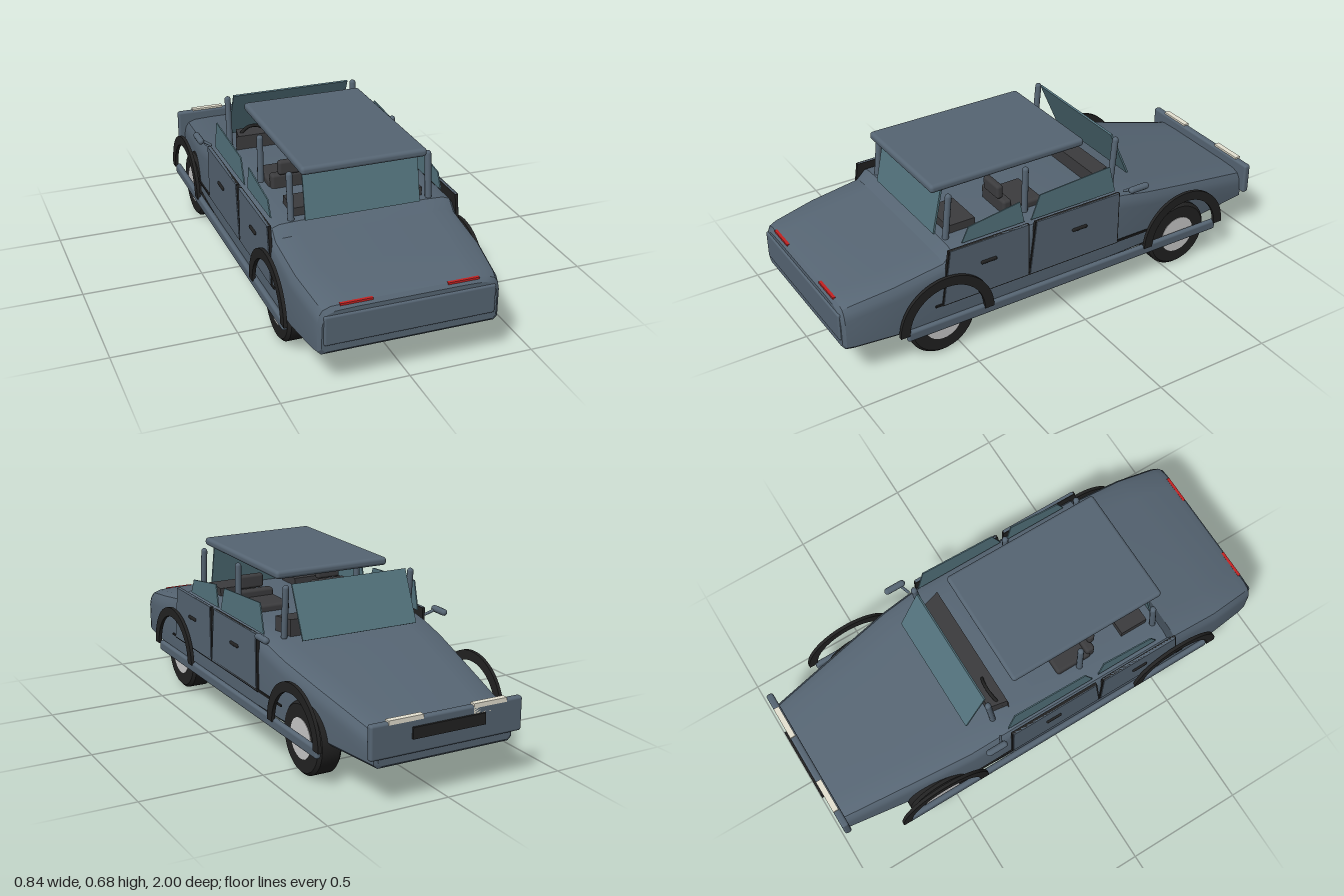
import * as THREE from 'three';
import { toCreasedNormals } from 'three/addons/utils/BufferGeometryUtils.js';
import { RoundedBoxGeometry } from 'three/addons/geometries/RoundedBoxGeometry.js';

const mat = (color) => new THREE.MeshStandardMaterial({ color });
const paint = mat(0x566573), dark = mat(0x222222), trim = mat(0x3c3c3e), glass = mat(0x55757f);
const red = mat(0xc42222), lamp = mat(0xe6e2d2), metal = mat(0xcccccc);
glass.side = THREE.DoubleSide;

// Body hull: rounded cross-sections lofted from nose to tail
function bodyGeometry() {
  const section = (z, w, top, bottom = 0.155) => {
    const half = [[w - 0.015, bottom], [w, bottom + 0.015], [w, top - 0.065],
      [w - 0.006, top - 0.035], [w - 0.02, top - 0.014], [w - 0.05, top - 0.003], [w - 0.13, top]];
    return [...half, ...half.map(([x, y]) => [-x, y]).reverse()].map(([x, y]) => [x, y, z]);
  };
  const rings = [
    section(-0.975, 0.285, 0.275, 0.165), section(-0.965, 0.297, 0.288), section(-0.6, 0.348, 0.368),
    section(-0.4, 0.374, 0.413), section(-0.27, 0.38, 0.442), section(-0.2, 0.382, 0.453), section(0.15, 0.384, 0.458),
    section(0.53, 0.385, 0.456), section(0.57, 0.385, 0.418), section(0.78, 0.383, 0.386),
    section(0.95, 0.363, 0.357), section(0.98, 0.355, 0.347), section(0.992, 0.342, 0.332, 0.168),
  ];
  const n = rings[0].length, pos = [];
  const tri = (a, b, c) => pos.push(...a, ...b, ...c);
  for (let i = 0; i < rings.length - 1; i++) {
    for (let j = 0; j < n; j++) {
      const k = (j + 1) % n, [p, q] = [rings[i], rings[i + 1]];
      tri(p[j], p[k], q[k]);
      tri(p[j], q[k], q[j]);
    }
  }
  const [nose, tail] = [rings[0], rings[rings.length - 1]];
  for (let j = 1; j < n - 1; j++) {
    tri(nose[0], nose[j + 1], nose[j]);
    tri(tail[0], tail[j], tail[j + 1]);
  }
  const g = new THREE.BufferGeometry();
  g.setAttribute('position', new THREE.Float32BufferAttribute(pos, 3));
  return toCreasedNormals(g, 0.5);
}

// Flat plate drawn in (z, y), centred on the given x
function sidePlate(shape, x, depth) {
  return new THREE.ExtrudeGeometry(shape, { depth, bevelEnabled: false, curveSegments: 32 })
    .translate(0, 0, -depth / 2).rotateY(-Math.PI / 2).translate(x, 0, 0);
}
const polygon = (pts) => new THREE.Shape(pts.map(([z, y]) => new THREE.Vector2(z, y)));

export function createModel() {
  const car = new THREE.Group();
  car.name = 'car';
  const add = (name, geometry, material, x = 0, y = 0, z = 0) => {
    const m = new THREE.Mesh(geometry, material);
    m.name = name;
    m.position.set(x, y, z);
    car.add(m);
    return m;
  };
  const box = (name, size, at, material) => add(name, new THREE.BoxGeometry(...size), material, ...at);
  const round = (name, size, at, material, r) => add(name, new RoundedBoxGeometry(...size, 3, r), material, ...at);
  // Round bar between two points
  const bar = (name, a, b, r, material) => {
    const p = new THREE.Vector3(...a), d = new THREE.Vector3(...b).sub(p);
    const m = add(name, new THREE.CapsuleGeometry(r, d.length() - 2 * r, 5, 12), material);
    m.position.copy(p).addScaledVector(d, 0.5);
    m.quaternion.setFromUnitVectors(new THREE.Vector3(0, 1, 0), d.normalize());
  };
  // Sloping glass pane, leaning between base and top heights
  const pane = (name, w, [y0, z0], [y1, z1]) => {
    const m = box(name, [w, Math.hypot(y1 - y0, z1 - z0), 0.008], [0, (y0 + y1) / 2, (z0 + z1) / 2], glass);
    m.rotation.x = Math.atan2(z1 - z0, y1 - y0);
  };

  add('body', bodyGeometry(), paint);
  round('roof', [0.51, 0.034, 0.695], [0, 0.662, 0.203], paint, 0.014);
  pane('windscreen', 0.515, [0.455, -0.365], [0.66, -0.275]);
  pane('rearScreen', 0.47, [0.455, 0.535], [0.648, 0.495]);

  // Nose and tail
  round('frontBumper', [0.65, 0.135, 0.03], [0, 0.262, -0.974], paint, 0.01);
  box('grille', [0.31, 0.045, 0.014], [0, 0.275, -0.991], dark);
  round('tailPanel', [0.67, 0.12, 0.02], [0, 0.255, 0.989], paint, 0.009);

  // Dashboard and steering wheel
  const dash = new THREE.Shape([[-0.27, -0.18], [-0.255, -0.26], [0.255, -0.26], [0.28, -0.18], [-0.28, -0.18]]
    .map(([x, z]) => new THREE.Vector2(x, -z)));
  add('dashboard', new THREE.ExtrudeGeometry(dash, { depth: 0.07, bevelEnabled: false }).rotateX(-Math.PI / 2),
    trim, 0, 0.443, 0);
  const wheelRim = add('steeringWheel', new THREE.TorusGeometry(0.07, 0.007, 8, 32), dark, -0.19, 0.47, -0.2);
  wheelRim.rotation.x = -0.4;

  for (const s of [-1, 1]) {
    box('headlight', [0.145, 0.04, 0.024], [s * 0.18, 0.317, -0.977], lamp);
    box('tailLight', [0.125, 0.008, 0.012], [s * 0.208, 0.346, 0.979], red);

    // Pillars, mirrors and sills
    bar('windscreenPillar', [s * 0.283, 0.435, -0.258], [s * 0.283, 0.66, -0.278], 0.013, paint);
    bar('doorPillar', [s * 0.283, 0.44, 0.155], [s * 0.283, 0.655, 0.15], 0.013, paint);
    bar('rearPillar', [s * 0.283, 0.435, 0.513], [s * 0.283, 0.645, 0.492], 0.013, paint);
    bar('mirror', [s * 0.405, 0.473, -0.36], [s * 0.405, 0.473, -0.265], 0.014, paint);
    bar('mirrorArm', [s * 0.36, 0.45, -0.27], [s * 0.4, 0.472, -0.29], 0.006, paint);
    round('sill', [0.024, 0.046, 1.49], [s * 0.393, 0.152, 0.005], paint, 0.011);

    // Seats
    round('seatCushion', [0.18, 0.05, 0.16], [s * 0.18, 0.46, 0.14], trim, 0.012);
    round('seatBack', [0.17, 0.08, 0.04], [s * 0.18, 0.475, 0.22], trim, 0.012);
    round('headrest', [0.11, 0.06, 0.03], [s * 0.185, 0.545, 0.238], trim, 0.012);
    box('rearSeat', [0.17, 0.05, 0.12], [s * 0.18, 0.465, 0.43], trim);

    // Doors over dark plates that show as seams
    const rearDoor = [[0.55, 0.467], [0.585, 0.235], [0.205, 0.235], [0.205, 0.467]];
    const frontDoor = [[0.165, 0.467], [0.195, 0.235], [-0.225, 0.235], [-0.225, 0.467]];
    for (const [name, pts] of [['rearDoor', rearDoor], ['frontDoor', frontDoor]]) {
      const grown = pts.map(([z, y], i) => [z + (i < 2 ? 0.006 : -0.006), y < 0.3 ? y - 0.006 : y]);
      add(name + 'Seam', sidePlate(polygon(grown), s * 0.383, 0.012), dark);
      add(name, sidePlate(polygon(pts), s * 0.386, 0.012), paint);
    }
    box('sideMoulding', [0.006, 0.008, 1.06], [s * 0.389, 0.238, 0.09], dark);
    for (const z of [0.385, -0.035]) round('doorHandle', [0.012, 0.014, 0.07], [s * 0.394, 0.371, z], dark, 0.005);

    // Side windows
    add('rearSideWindow', sidePlate(polygon([[0.48, 0.46], [0.45, 0.522], [0.22, 0.556], [0.2, 0.46]]), s * 0.352, 0.005), glass);
    add('frontSideWindow', sidePlate(polygon([[0.17, 0.46], [0.13, 0.56], [-0.2, 0.581], [-0.23, 0.46]]), s * 0.355, 0.005), glass);

    // Wheels and arches
    for (const z of [0.58, -0.56]) {
      const profile = [[0.08, -0.05], [0.133, -0.05], [0.145, -0.038], [0.145, 0.038], [0.133, 0.05], [0.08, 0.05], [0.08, -0.05]];
      const tyre = new THREE.LatheGeometry(profile.map(([r, h]) => new THREE.Vector2(r, h)), 40);
      add('tyre', toCreasedNormals(tyre.rotateZ(Math.PI / 2), 0.6), dark, s * 0.32, 0.145, z);
      add('hub', new THREE.CylinderGeometry(0.081, 0.081, 0.104, 32).rotateZ(Math.PI / 2), metal, s * 0.32, 0.145, z);
      const arch = new THREE.Shape();
      arch.absarc(z - 0.002, 0.163, 0.205, 0, Math.PI, false);
      arch.absarc(z - 0.002, 0.163, 0.165, Math.PI, 0, true);
      add('wheelArch', sidePlate(arch, s * 0.403, 0.014), dark);
    }
  }
  return car;
}
